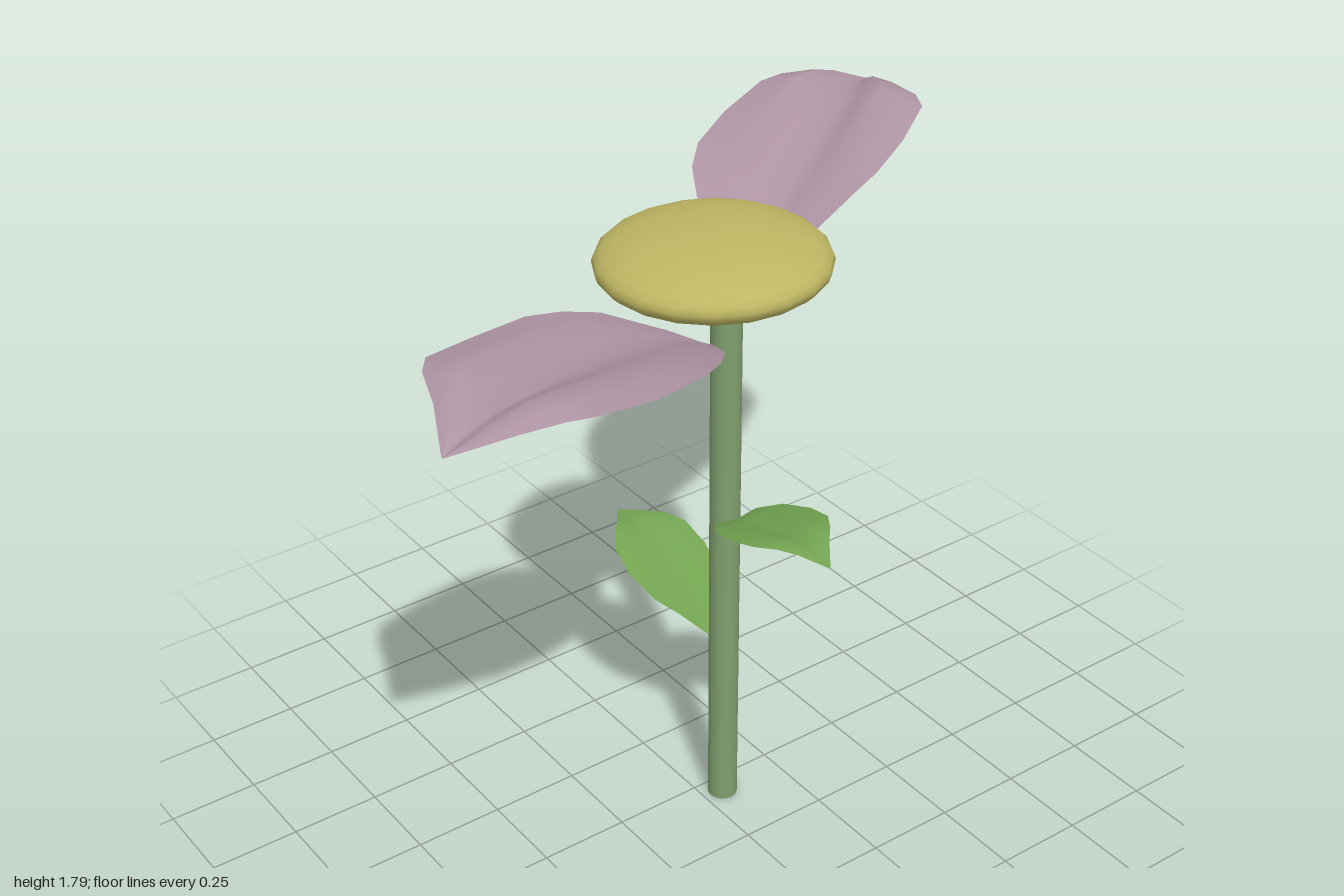
import * as THREE from 'three';

const mat = (color) => new THREE.MeshStandardMaterial({ color, side: THREE.DoubleSide });

// Each section: [distance, height, left width, right width, rise halfway out, rise at the edge]
const PETAL = [
  [0, 0, 0.006, 0.006, 0, 0],
  [0.06, 0.03, 0.07, 0.06, 0.008, 0.012],
  [0.12, 0.055, 0.125, 0.11, 0.014, 0.022],
  [0.2, 0.085, 0.193, 0.157, 0.024, 0.04],
  [0.3, 0.115, 0.248, 0.195, 0.034, 0.046],
  [0.4, 0.138, 0.271, 0.225, 0.042, 0.046],
  [0.57, 0.17, 0.263, 0.24, 0.054, 0.035],
  [0.74, 0.195, 0.222, 0.238, 0.066, 0.038],
  [0.8, 0.202, 0.185, 0.2, 0.056, 0.035],
  [0.88, 0.205, 0.125, 0.105, 0.03, 0.022],
  [0.985, 0.182, 0.003, 0.003, 0, 0],
];
const LOWER_LEAF = [
  [0, 0, 0.004, 0.004, 0, 0],
  [0.045, 0.055, 0.065, 0.065, 0.006, 0.01],
  [0.1, 0.085, 0.108, 0.108, 0.011, 0.015],
  [0.19, 0.128, 0.128, 0.128, 0.016, 0.014],
  [0.27, 0.165, 0.118, 0.118, 0.017, 0.012],
  [0.32, 0.182, 0.085, 0.085, 0.012, 0.01],
  [0.36, 0.185, 0.05, 0.05, 0.006, 0.005],
  [0.425, 0.178, 0.002, 0.002, 0, 0],
];
// The upper leaf is the same blade, set flatter
const UPPER_LEAF = LOWER_LEAF.map(([s, y, ...rest]) => [s, y - s * 0.17, ...rest]);

// Blade growing along +x, swept through the sections with a grooved midrib
function bladeGeometry(sections) {
  const across = [-1, -0.75, -0.5, -0.25, 0, 0.25, 0.5, 0.75, 1];
  const pos = [], idx = [], n = across.length;
  sections.forEach(([s, y, left, right, half, edge], i) => {
    across.forEach((t, j) => {
      const a = Math.abs(t);
      const rise = a <= 0.5 ? half * a * 2 : half + (edge - half) * (a - 0.5) * 2;
      pos.push(s, y + rise, t * (t < 0 ? left : right));
      if (i < sections.length - 1 && j < n - 1) {
        const p = i * n + j;
        idx.push(p, p + 1, p + n, p + 1, p + n + 1, p + n);
      }
    });
  });
  const g = new THREE.BufferGeometry();
  g.setAttribute('position', new THREE.Float32BufferAttribute(pos, 3));
  g.setIndex(idx);
  g.computeVertexNormals();
  return g;
}

export function createModel() {
  const model = new THREE.Group();
  const add = (name, geometry, material, x, y, z, turn = 0) => {
    const mesh = new THREE.Mesh(geometry, material);
    mesh.name = name;
    mesh.position.set(x, y, z);
    mesh.rotation.y = THREE.MathUtils.degToRad(turn);
    model.add(mesh);
  };

  // Straight stem
  add('stem', new THREE.CylinderGeometry(0.041, 0.041, 1.64, 16), mat(0x7f9f6e), 0.06, 0.82, 0.052);

  // Flattened flower centre
  const disc = new THREE.SphereGeometry(1, 20, 16).scale(0.3, 0.086, 0.292);
  add('flowerCentre', disc, mat(0xbdb562), 0.02, 1.683, 0.05);

  // Two petals
  const petal = bladeGeometry(PETAL), petalMat = mat(0xae94a3);
  add('leftPetal', petal, petalMat, 0.16, 1.528, -0.03, 31.8);
  add('rightPetal', petal, petalMat, -0.08, 1.528, 0.14, 200.3);

  // Two leaves
  const leafMat = mat(0x72a350);
  add('lowerLeaf', bladeGeometry(LOWER_LEAF), leafMat, 0.045, 0.525, 0.005, 90);
  add('upperLeaf', bladeGeometry(UPPER_LEAF), leafMat, 0.04, 0.915, 0.082, -90);

  return model;
}
